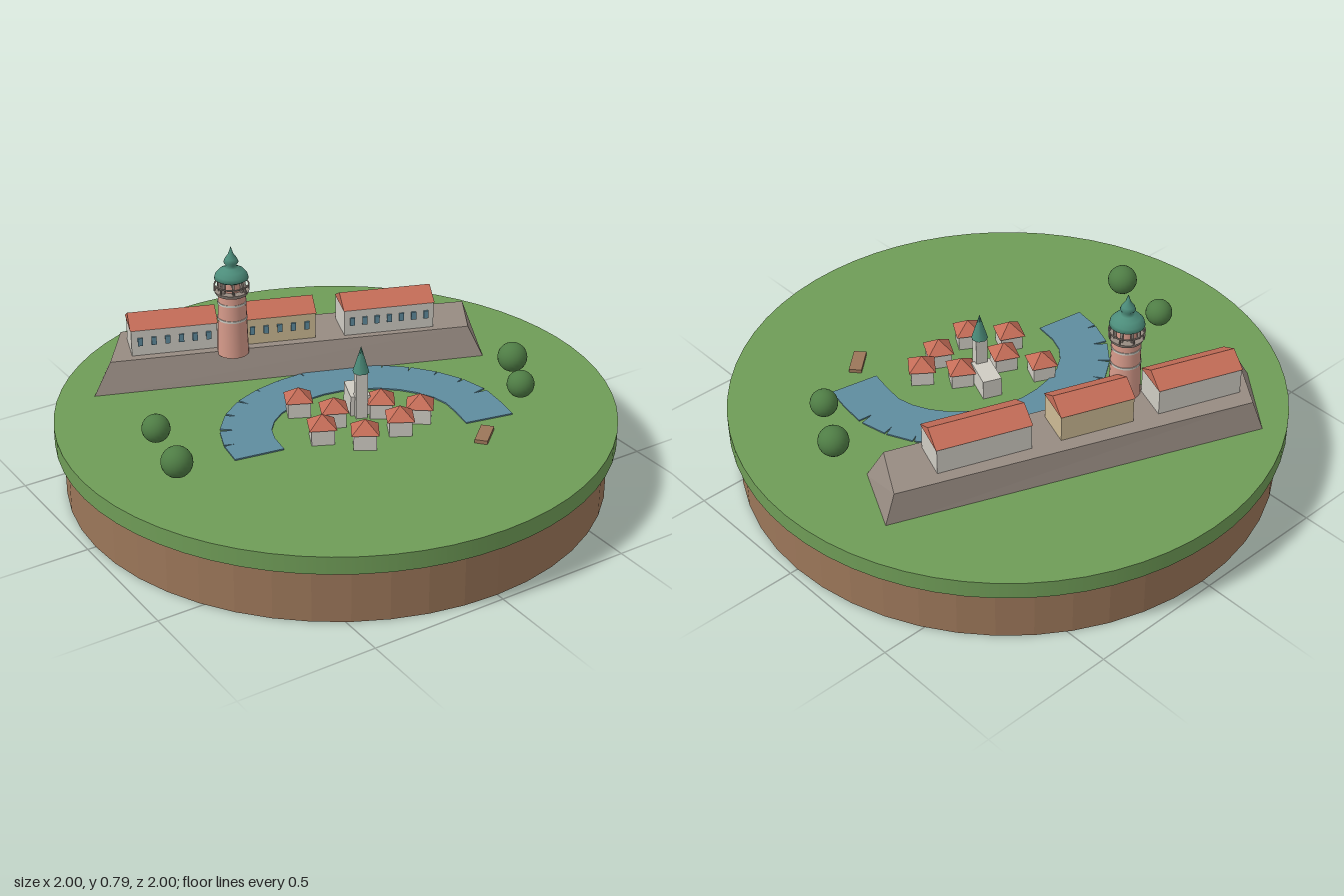
import * as THREE from 'three';

const mat = (name, color, opts = {}) => {
  const m = new THREE.MeshStandardMaterial({ color, ...opts });
  m.name = name;
  return m;
};

export function createModel() {
  const model = new THREE.Group();
  model.name = 'castleTownDiorama';
  const M = {
    earth: mat('earth', 0x9b7659, { flatShading: true }),
    grass: mat('grass', 0x6f9c57),
    leaf: mat('leaf', 0x4f7d45),
    water: mat('water', 0x5f8c9e),
    rock: mat('rock', 0x978b82, { flatShading: true }),
    roof: mat('roofTile', 0xc56d58, { flatShading: true }),
    wall: mat('paleWall', 0xcfccc3),
    tan: mat('tanWall', 0xcdbb95),
    pink: mat('pinkPlaster', 0xd69a8a),
    copper: mat('copper', 0x4c8c7a),
  };
  const GROUND = 0.265, TOP = 0.375;

  const add = (name, geo, material, x, y, z, ry = 0, parent = model) => {
    const mesh = new THREE.Mesh(geo, material);
    mesh.name = name;
    mesh.position.set(x, y, z);
    mesh.rotation.y = ry;
    parent.add(mesh);
    return mesh;
  };
  const group = (name, x, y, z, ry = 0) => {
    const g = new THREE.Group();
    g.name = name;
    g.position.set(x, y, z);
    g.rotation.y = ry;
    model.add(g);
    return g;
  };
  const box = (w, h, d) => new THREE.BoxGeometry(w, h, d);
  const cyl = (rt, rb, h, n = 24) => new THREE.CylinderGeometry(rt, rb, h, n);

  // Round base
  add('earthBase', cyl(0.97, 0.97, 0.2, 48), M.earth, 0, 0.1, 0);
  add('grassDisc', cyl(1, 1, 0.065, 64), M.grass, 0, 0.2325, 0);

  // Sloped castle hill: bottom and top outlines joined by four flanks
  const low = [[-0.7, -0.52], [0.67, -0.02], [0.79, -0.265], [-0.5, -0.77]];
  const high = [[-0.62, -0.535], [0.635, -0.075], [0.745, -0.262], [-0.475, -0.735]];
  const corners = [
    ...low.flatMap(([x, z]) => [x, GROUND - 0.005, z]),
    ...high.flatMap(([x, z]) => [x, TOP, z]),
  ];
  const faces = [4, 5, 6, 4, 6, 7, 0, 2, 1, 0, 3, 2];
  for (let i = 0; i < 4; i++) {
    const j = (i + 1) % 4;
    faces.push(i, j, j + 4, i, j + 4, i + 4);
  }
  let hill = new THREE.BufferGeometry();
  hill.setAttribute('position', new THREE.Float32BufferAttribute(corners, 3));
  hill.setIndex(faces);
  hill = hill.toNonIndexed();
  hill.computeVertexNormals();
  add('castleHill', hill, M.rock, 0, 0, 0);

  // Castle wings: long block, gable roof, row of front windows
  const wing = (name, x, z, length, width, wallMat, windows) => {
    const g = group(name, x, TOP, z, -0.35);
    add('wingWalls', box(length - 0.006, 0.1, width - 0.006), wallMat, 0, 0.05, 0, 0, g);
    const gable = new THREE.Shape();
    gable.moveTo(-width / 2, 0);
    gable.lineTo(width / 2, 0);
    gable.lineTo(0, 0.042);
    gable.closePath();
    const roof = new THREE.ExtrudeGeometry(gable, { depth: length, bevelEnabled: false });
    roof.translate(0, 0, -length / 2);
    add('wingRoof', roof, M.roof, 0, 0.1, 0, Math.PI / 2, g);
    for (let i = 0; i < windows; i++) {
      const wx = (i - (windows - 1) / 2) * (length / (windows + 0.4));
      add('window', box(0.018, 0.03, 0.008), M.water, wx, 0.055, width / 2, 0, g);
    }
  };
  wing('westWing', -0.36, -0.547, 0.32, 0.143, M.wall, 6);
  wing('middleWing', 0.005, -0.415, 0.275, 0.145, M.tan, 5);
  wing('eastWing', 0.39, -0.27, 0.345, 0.152, M.wall, 7);

  // Round castle tower with gallery, open lantern and copper cap
  const tower = group('castleTower', -0.196, 0, -0.385);
  add('towerShaft', cyl(0.05, 0.057, 0.24), M.pink, 0, 0.485, 0, 0, tower);
  for (const [y, r] of [[0.508, 0.055], [0.57, 0.053]]) {
    add('towerBand', cyl(r, r, 0.008), M.wall, 0, y, 0, 0, tower);
  }
  add('galleryFloor', cyl(0.064, 0.058, 0.014), M.rock, 0, 0.609, 0, 0, tower);
  add('lanternCore', cyl(0.036, 0.036, 0.05), M.pink, 0, 0.636, 0, 0, tower);
  for (let i = 0; i < 8; i++) {
    const a = (i + 0.5) * Math.PI / 4;
    add('lanternPost', box(0.009, 0.05, 0.009), M.rock, 0.045 * Math.sin(a), 0.637, 0.045 * Math.cos(a), a, tower);
    add('railPost', cyl(0.003, 0.003, 0.024, 6), M.rock, 0.062 * Math.sin(a), 0.627, 0.062 * Math.cos(a), 0, tower);
  }
  const rail = new THREE.TorusGeometry(0.062, 0.003, 6, 24).rotateX(Math.PI / 2);
  add('galleryRail', rail, M.rock, 0, 0.638, 0, 0, tower);
  const cap = [[0, 0.655], [0.05, 0.655], [0.062, 0.663], [0.058, 0.678], [0.045, 0.693], [0.024, 0.703],
    [0.018, 0.712], [0.027, 0.725], [0.022, 0.738], [0.01, 0.755], [0, 0.785]];
  add('towerCap', new THREE.LatheGeometry(cap.map(([r, y]) => new THREE.Vector2(r, y)), 24), M.copper, 0, 0, 0, 0, tower);

  // River bend: flat slabs following a curve around the town
  const river = new THREE.CatmullRomCurve3([
    [-0.415, 0.16], [-0.385, 0.02], [-0.28, -0.1], [-0.13, -0.16], [0.05, -0.165],
    [0.22, -0.1], [0.35, 0.02], [0.42, 0.19], [0.395, 0.38],
  ].map(([x, z]) => new THREE.Vector3(x, GROUND + 0.001, z)));
  const pts = river.getSpacedPoints(16);
  for (let i = 0; i < 16; i++) {
    const a = pts[i], b = pts[i + 1];
    add('riverSlab', box(a.distanceTo(b) + 0.012, 0.008, 0.18), M.water,
      (a.x + b.x) / 2, a.y, (a.z + b.z) / 2, -Math.atan2(b.z - a.z, b.x - a.x));
  }

  // Town houses with pyramid roofs
  const pyramid = new THREE.ConeGeometry(0.068, 0.042, 4).rotateY(Math.PI / 4);
  const houses = [[-0.145, -0.02, 0.45], [-0.08, 0.11, 0.45], [-0.18, 0.19, 0.45], [-0.075, 0.3, 0.55],
    [0.08, 0.285, 0.5], [0.19, 0.25, 0.65], [0.095, 0.145, 0.55]];
  for (const [x, z, turn] of houses) {
    const g = group('townHouse', x, GROUND, z, -turn);
    add('houseWalls', box(0.08, 0.06, 0.08), M.wall, 0, 0.03, 0, 0, g);
    add('houseRoof', pyramid, M.roof, 0, 0.08, 0, 0, g);
  }

  // Church
  add('churchNave', box(0.07, 0.075, 0.125), M.wall, 0.052, GROUND + 0.0375, 0.057, -0.38);
  add('churchTower', box(0.042, 0.175, 0.042), M.wall, 0.028, GROUND + 0.0875, 0.118, -0.38);
  add('churchSpire', new THREE.ConeGeometry(0.03, 0.1, 8), M.copper, 0.028, 0.49, 0.118);

  // Round trees
  for (const [x, z, r] of [[-0.72, 0.14, 0.055], [-0.67, -0.1, 0.05], [0.685, 0.135, 0.055], [0.58, 0.32, 0.05]]) {
    add('tree', new THREE.SphereGeometry(r, 20, 14), M.leaf, x, 0.323, z);
  }

  // Small wooden raft beside the river
  add('raft', box(0.11, 0.015, 0.046), M.earth, 0.305, GROUND + 0.006, 0.475, 0.72);

  return model;
}
